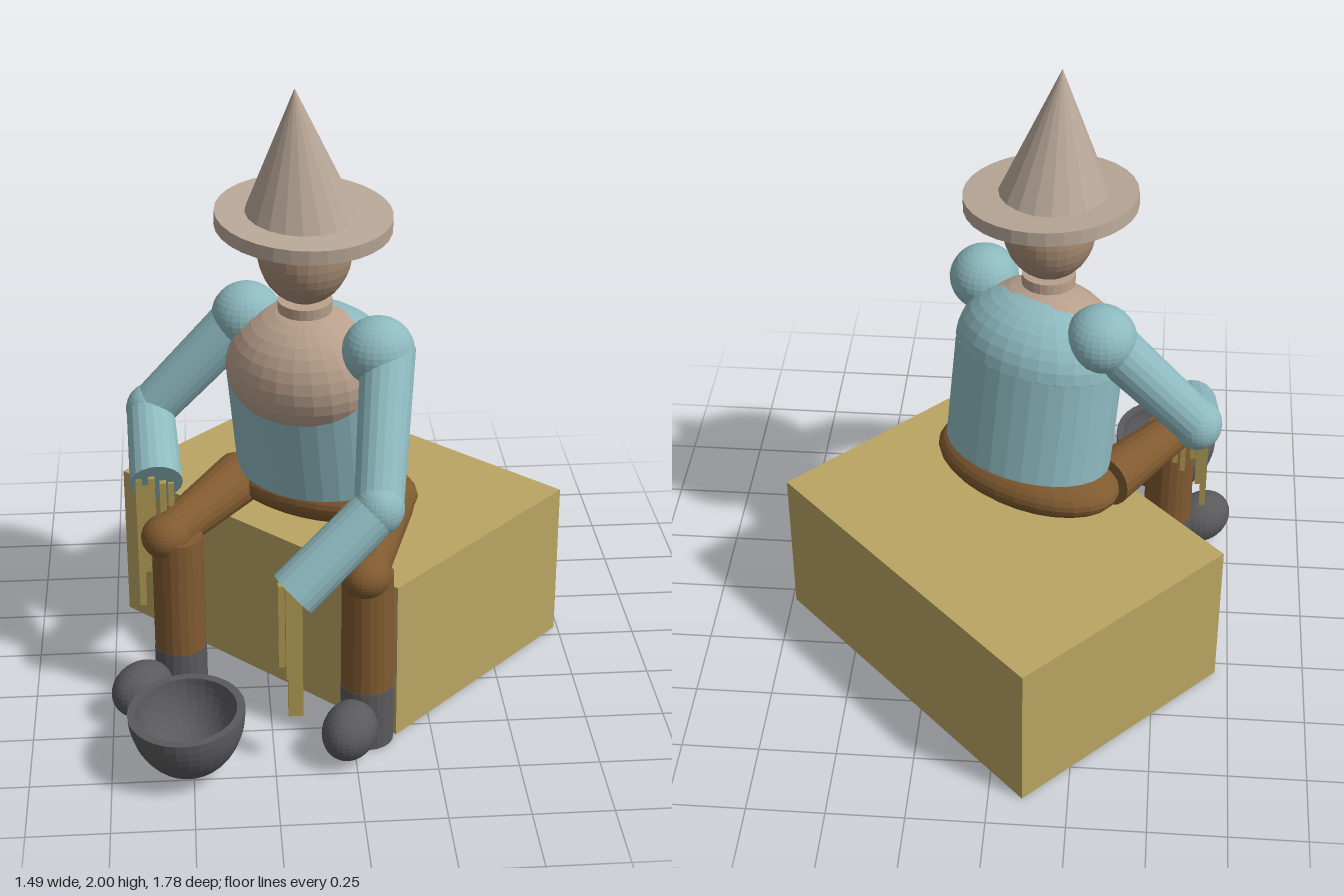
import * as THREE from 'three';

const mat = (color, extra = {}) => new THREE.MeshStandardMaterial({ color, flatShading: true, ...extra });
const M = {
  bale: mat(0xb9a562), straw: mat(0xae9a52), shirt: mat(0x8db9bf), trousers: mat(0x805a30),
  boot: mat(0x5a5a5d), hat: mat(0xb8a797), face: mat(0xa88d75), chest: mat(0xb9a08c),
  bowl: mat(0x5a5a5d, { side: THREE.DoubleSide }),
};
const V = (p) => new THREE.Vector3(...p);
const UP = new THREE.Vector3(0, 1, 0);

function add(parent, name, geometry, material, pos = [0, 0, 0]) {
  const mesh = new THREE.Mesh(geometry, material);
  mesh.name = name;
  mesh.position.set(...pos);
  parent.add(mesh);
  return mesh;
}

// Ellipsoid with three radii, turned about y
function ball(parent, name, material, pos, radii, yaw = 0) {
  const mesh = add(parent, name, new THREE.SphereGeometry(1, 28, 18), material, pos);
  mesh.scale.set(...radii);
  mesh.rotation.y = yaw;
  return mesh;
}

// Tapered cylinder from point a to point b
function limb(parent, name, material, a, b, ra, rb, sides = 20) {
  const d = V(b).sub(V(a));
  const mesh = add(parent, name, new THREE.CylinderGeometry(rb, ra, d.length(), sides), material);
  mesh.position.copy(V(a)).addScaledVector(d, 0.5);
  mesh.quaternion.setFromUnitVectors(UP, d.normalize());
  return mesh;
}

export function createModel() {
  const root = new THREE.Group();
  root.name = 'seatedScarecrow';

  // Straw bale, set diagonally
  const bale = add(root, 'bale', new THREE.BoxGeometry(1.195, 0.53, 0.85), M.bale, [0.015, 0.265, -0.17]);
  bale.rotation.y = -Math.PI / 4;

  // Hips and leaning torso, turned to the figure's right
  const body = new THREE.Group();
  body.name = 'body';
  body.position.set(-0.06, 0, 0);
  body.rotation.y = -Math.PI / 6;
  root.add(body);
  ball(body, 'hips', M.trousers, [0, 0.62, 0], [0.335, 0.1, 0.19]);
  const torso = new THREE.Group();
  torso.name = 'torso';
  torso.position.y = 0.7;
  torso.rotation.x = 0.17;
  body.add(torso);
  const trunk = add(torso, 'shirtTrunk', new THREE.CylinderGeometry(1, 1, 0.37, 32), M.shirt, [0, 0.185, 0]);
  trunk.scale.set(0.285, 1, 0.225);
  ball(torso, 'shirtYoke', M.shirt, [0, 0.37, 0], [0.285, 0.205, 0.225]);
  ball(torso, 'chest', M.chest, [0, 0.375, 0.024], [0.268, 0.21, 0.224]);

  // Neck and head
  const neck = add(root, 'neck', new THREE.CylinderGeometry(0.085, 0.085, 0.035, 24), M.chest, [-0.115, 1.295, 0.11]);
  neck.rotation.x = 0.09;
  ball(root, 'head', M.face, [-0.115, 1.48, 0.12], [0.147, 0.175, 0.147]);

  // Pointed hat
  const brim = add(root, 'hatBrim', new THREE.CylinderGeometry(0.272, 0.272, 0.045, 32), M.hat, [-0.118, 1.58, 0.125]);
  brim.rotation.set(0.09, 0, -0.04);
  limb(root, 'hatCone', M.hat, [-0.13, 1.595, 0.13], [-0.145, 2, 0.175], 0.175, 0.001);

  // Arms: shoulder, elbow and wrist positions
  const arms = [
    { side: 'left', s: [0.1, 1.19, 0.25], a: [0.13, 1.2, 0.25], e: [0.075, 0.82, 0.57], w: [-0.19, 0.59, 0.665], r: 0.08 },
    { side: 'right', s: [-0.29, 1.19, -0.06], a: [-0.3, 1.19, -0.06], e: [-0.605, 0.87, -0.06], w: [-0.59, 0.74, 0.205], r: 0.083 },
  ];
  for (const { side, s, a, e, w, r } of arms) {
    ball(root, side + 'Shoulder', M.shirt, s, [0.112, 0.108, 0.112]);
    limb(root, side + 'UpperArm', M.shirt, a, e, 0.085, 0.075);
    ball(root, side + 'Elbow', M.shirt, e, [0.078, 0.085, 0.08]);
    limb(root, side + 'Forearm', M.shirt, e, w, 0.076, r);
  }

  // Straw hanging from the cuffs: x, z, top, bottom, width
  const straws = [
    [-0.225, 0.675, 0.63, 0.35, 0.02], [-0.205, 0.7, 0.63, 0.32, 0.018],
    [-0.185, 0.685, 0.62, 0.18, 0.045], [-0.18, 0.66, 0.6, 0.24, 0.02],
    [-0.645, 0.21, 0.76, 0.31, 0.02], [-0.63, 0.19, 0.77, 0.42, 0.03],
    [-0.605, 0.225, 0.77, 0.5, 0.02], [-0.57, 0.22, 0.75, 0.45, 0.02], [-0.545, 0.2, 0.74, 0.5, 0.018],
  ];
  for (const [x, z, top, bottom, w] of straws)
    add(root, 'strawHand', new THREE.BoxGeometry(w, top - bottom, 0.025), M.straw, [x, (top + bottom) / 2, z]);

  // Legs: hip, knee, ankle axis and toe
  const legs = [
    { side: 'left', hip: [0.14, 0.615, 0.16], knee: [0.035, 0.592, 0.575], x: 0.045, z: 0.55, toe: [-0.018, 0.1, 0.665], yaw: -0.45 },
    { side: 'right', hip: [-0.32, 0.615, -0.06], knee: [-0.565, 0.592, 0.285], x: -0.53, z: 0.28, toe: [-0.655, 0.1, 0.385], yaw: -0.85 },
  ];
  for (const { side, hip, knee, x, z, toe, yaw } of legs) {
    limb(root, side + 'Thigh', M.trousers, hip, knee, 0.088, 0.065);
    ball(root, side + 'Knee', M.trousers, knee, [0.078, 0.07, 0.078]);
    limb(root, side + 'Shin', M.trousers, [x, 0.19, z], [x, 0.59, z], 0.082, 0.08);
    limb(root, side + 'Boot', M.boot, [x, 0, z], [x, 0.2, z], 0.083, 0.083);
    ball(root, side + 'Toe', M.boot, toe, [0.083, 0.09, 0.108], yaw);
  }

  // Bowl on the ground: inner wall, rim and outer wall
  const profile = [];
  const N = 12;
  for (let i = 0; i <= N; i++) {
    const t = (i / N) * Math.PI / 2;
    profile.push(new THREE.Vector2(0.18 * Math.sin(t), -0.212 * Math.cos(t)));
  }
  for (let i = N; i >= 0; i--) {
    const t = (i / N) * Math.PI / 2;
    profile.push(new THREE.Vector2(0.155 * Math.sin(t), -0.185 * Math.cos(t)));
  }
  const bowl = add(root, 'bowl', new THREE.LatheGeometry(profile, 32), M.bowl, [-0.518, 0.215, 0.69]);
  bowl.scale.z = 1.11;
  bowl.rotation.z = 0.05;

  return root;
}
